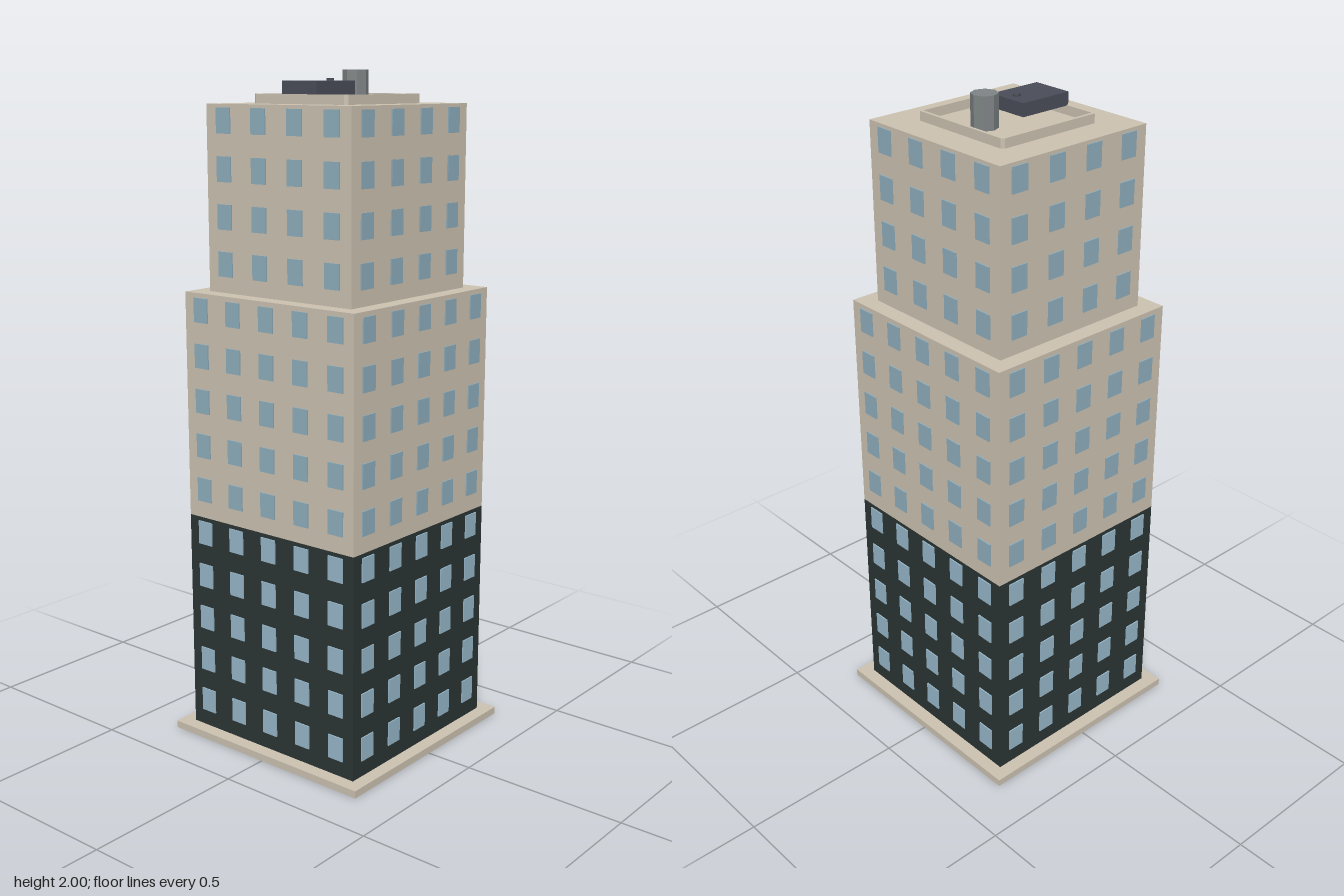
import * as THREE from 'three';

const mat = (name, color) => {
  const m = new THREE.MeshStandardMaterial({ color });
  m.name = name;
  return m;
};

export function createModel() {
  const stone = mat('stone', 0xcbc1b0);
  const dark = mat('dark cladding', 0x2b3434);
  const glassLow = mat('lower glass', 0x95b6c8);
  const glassHigh = mat('upper glass', 0x8dadbc);
  const unitGrey = mat('roof unit grey', 0x4a4d58);
  const metal = mat('tank metal', 0x7e8385);

  const model = new THREE.Group();
  model.name = 'tower';

  const add = (name, geometry, material, x = 0, y = 0, z = 0, parent = model) => {
    const mesh = new THREE.Mesh(geometry, material);
    mesh.name = name;
    mesh.position.set(x, y, z);
    parent.add(mesh);
    return mesh;
  };
  // Square block given by its half width and its bottom and top heights
  const block = (name, half, y0, y1, material) =>
    add(name, new THREE.BoxGeometry(half * 2, y1 - y0, half * 2), material, 0, (y0 + y1) / 2);

  // Stacked storeys
  block('basePlate', 0.356, 0, 0.022, stone);
  block('lowerStorey', 0.315, 0.022, 0.695, dark);
  block('middleStorey', 0.315, 0.695, 1.372, stone);
  block('upperStorey', 0.264, 1.372, 1.906, stone);

  // Window grid, repeated on all four walls
  const pane = new THREE.BoxGeometry(0.053, 0.072, 0.008);
  const windows = (name, half, cols, step, y0, rows, material) => {
    for (let side = 0; side < 4; side++) {
      const wall = new THREE.Group();
      wall.name = name;
      wall.rotation.y = side * Math.PI / 2;
      for (let r = 0; r < rows; r++)
        for (let c = 0; c < cols; c++)
          add('window', pane, material, (c - (cols - 1) / 2) * step, y0 + r * 0.135, half, wall);
      model.add(wall);
    }
  };
  windows('lowerWindows', 0.315, 5, 0.126, 0.107, 5, glassLow);
  windows('middleWindows', 0.315, 5, 0.126, 0.782, 5, glassHigh);
  windows('upperWindows', 0.264, 4, 0.132, 1.455, 4, glassHigh);

  // Roof parapet: a square ring with clipped corners
  const ring = (Path, h, c) => new Path([
    [h - c, -h], [h, c - h], [h, h - c], [h - c, h],
    [c - h, h], [-h, h - c], [-h, c - h], [c - h, -h],
  ].map(([x, y]) => new THREE.Vector2(x, y)));
  const rim = ring(THREE.Shape, 0.17, 0.008);
  rim.holes.push(ring(THREE.Path, 0.16, 0.003));
  const rimGeometry = new THREE.ExtrudeGeometry(rim, { depth: 0.027, bevelEnabled: false });
  rimGeometry.rotateX(-Math.PI / 2);
  add('parapet', rimGeometry, stone, 0, 1.906, 0);

  // Rooftop equipment
  add('roofUnit', new THREE.BoxGeometry(0.167, 0.038, 0.126), unitGrey, -0.0835, 1.95, 0);
  const cap = new THREE.CylinderGeometry(0.011, 0.011, 0.008, 6).toNonIndexed();
  cap.computeVertexNormals();
  add('unitCap', cap, unitGrey, -0.033, 1.972, 0);
  const tank = new THREE.CylinderGeometry(0.038, 0.038, 0.094, 8).toNonIndexed();
  tank.computeVertexNormals();
  add('waterTank', tank, metal, 0.081, 1.953, 0);

  return model;
}
